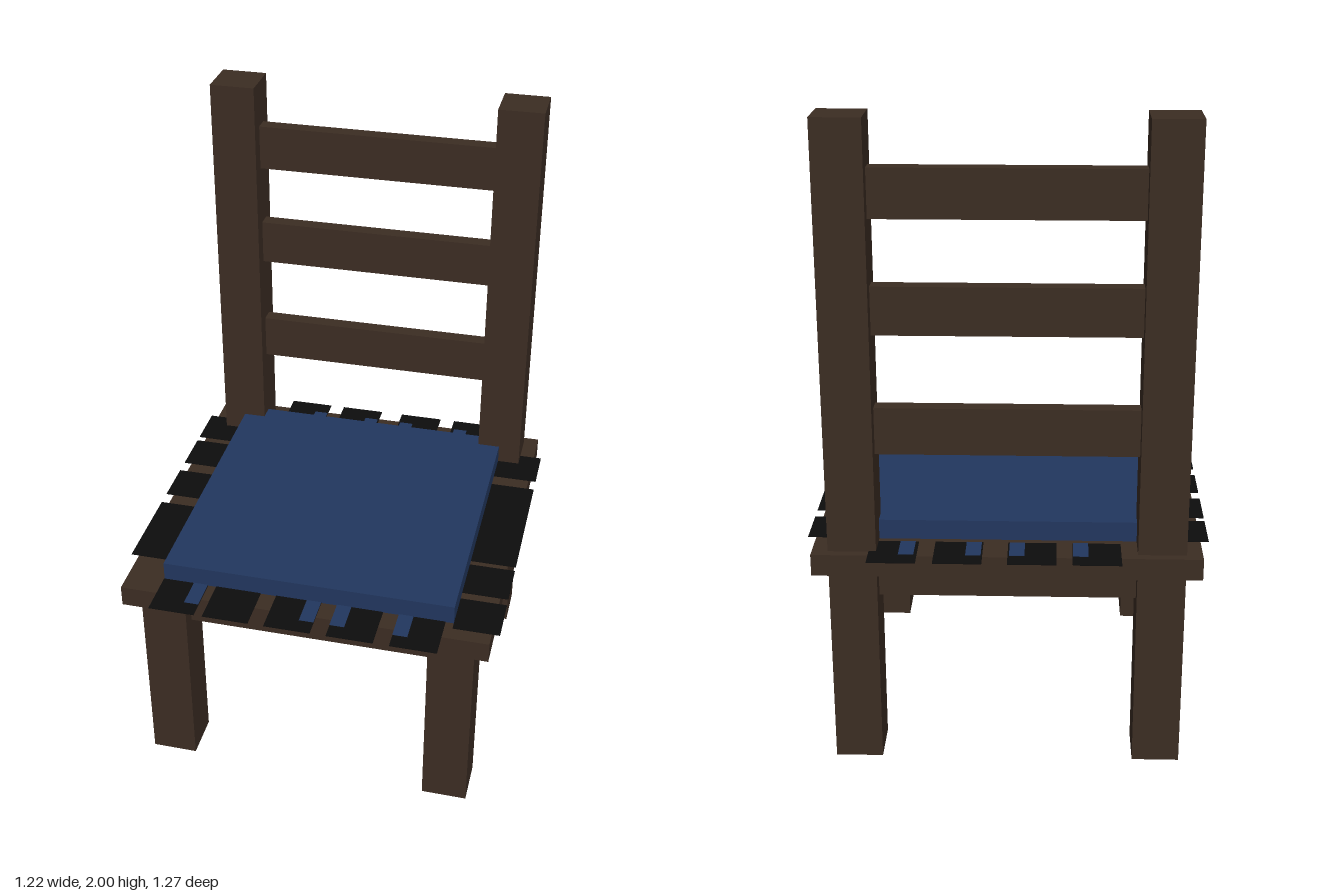
import * as THREE from 'three';

export function createModel() {
  const wood = new THREE.MeshStandardMaterial({ color: 0x3c2d23 });
  wood.name = 'dark wood';
  const blue = new THREE.MeshStandardMaterial({ color: 0x22375f });
  blue.name = 'blue cloth';
  const black = new THREE.MeshStandardMaterial({ color: 0x0d0d0d });
  black.name = 'black fringe';

  const chair = new THREE.Group();
  chair.name = 'chair';

  // Box given by its lower and upper limits on each axis
  function box(name, material, [x0, x1], [y0, y1], [z0, z1]) {
    const mesh = new THREE.Mesh(new THREE.BoxGeometry(x1 - x0, y1 - y0, z1 - z0), material);
    mesh.position.set((x0 + x1) / 2, (y0 + y1) / 2, (z0 + z1) / 2);
    mesh.name = name;
    chair.add(mesh);
  }

  const legX = 0.4625, half = 0.0725, rail = 0.024;
  const backZ = -0.4875, frontZ = 0.4425;
  const around = (c, h) => [c - h, c + h];

  // Legs, tall back posts and side aprons
  for (const side of [-1, 1]) {
    const x = side * legX;
    box('frontLeg', wood, around(x, half), [0, 0.64], around(frontZ, half));
    box('backPost', wood, around(x, half), [0, 2], around(backZ, half));
    box('sideApron', wood, around(x, rail), [0.54, 0.64], [backZ + half, frontZ - half]);
  }

  // Front and back aprons
  box('frontApron', wood, [-0.39, 0.39], [0.54, 0.64], around(frontZ, rail));
  box('backApron', wood, [-0.39, 0.39], [0.54, 0.64], around(backZ, rail));

  // Backrest slats
  for (const y of [1.075, 1.442, 1.782]) {
    box('backSlat', wood, [-0.39, 0.39], around(y, half), around(backZ, rail));
  }

  // Seat board and cushion
  box('seat', wood, [-0.583, 0.583], [0.64, 0.708], [-0.587, 0.557]);
  box('cushion', blue, [-0.463, 0.463], [0.708, 0.77], [-0.467, 0.485]);

  // Thin fringe strips lying on the seat and overhanging its edges
  const strip = (x, z) => box('fringe', black, x, [0.708, 0.71], z);
  for (const x of [-0.392, -0.22, -0.025, 0.17, 0.365]) strip(around(x, half), [0.485, 0.633]);
  for (const x of [-0.268, -0.075, 0.145, 0.34]) strip(around(x, half), [-0.635, -0.49]);
  for (const z of [[-0.465, -0.32], [-0.27, 0.17], [0.19, 0.335], [0.365, 0.51]]) strip([0.463, 0.608], z);
  for (const z of [[-0.465, -0.32], [-0.295, -0.15], [-0.1, 0.045], [0.095, 0.39]]) strip([-0.608, -0.463], z);

  // Blue cloth ends woven into the front and back fringe
  for (const x of [-0.343, 0.024, 0.12, 0.315]) {
    box('clothEnd', blue, around(x, 0.023), [0.709, 0.711], [0.485, 0.583]);
  }
  for (const x of [-0.22, -0.03, 0.1, 0.3]) {
    box('clothEnd', blue, around(x, 0.023), [0.709, 0.711], [-0.58, -0.49]);
  }

  return chair;
}
